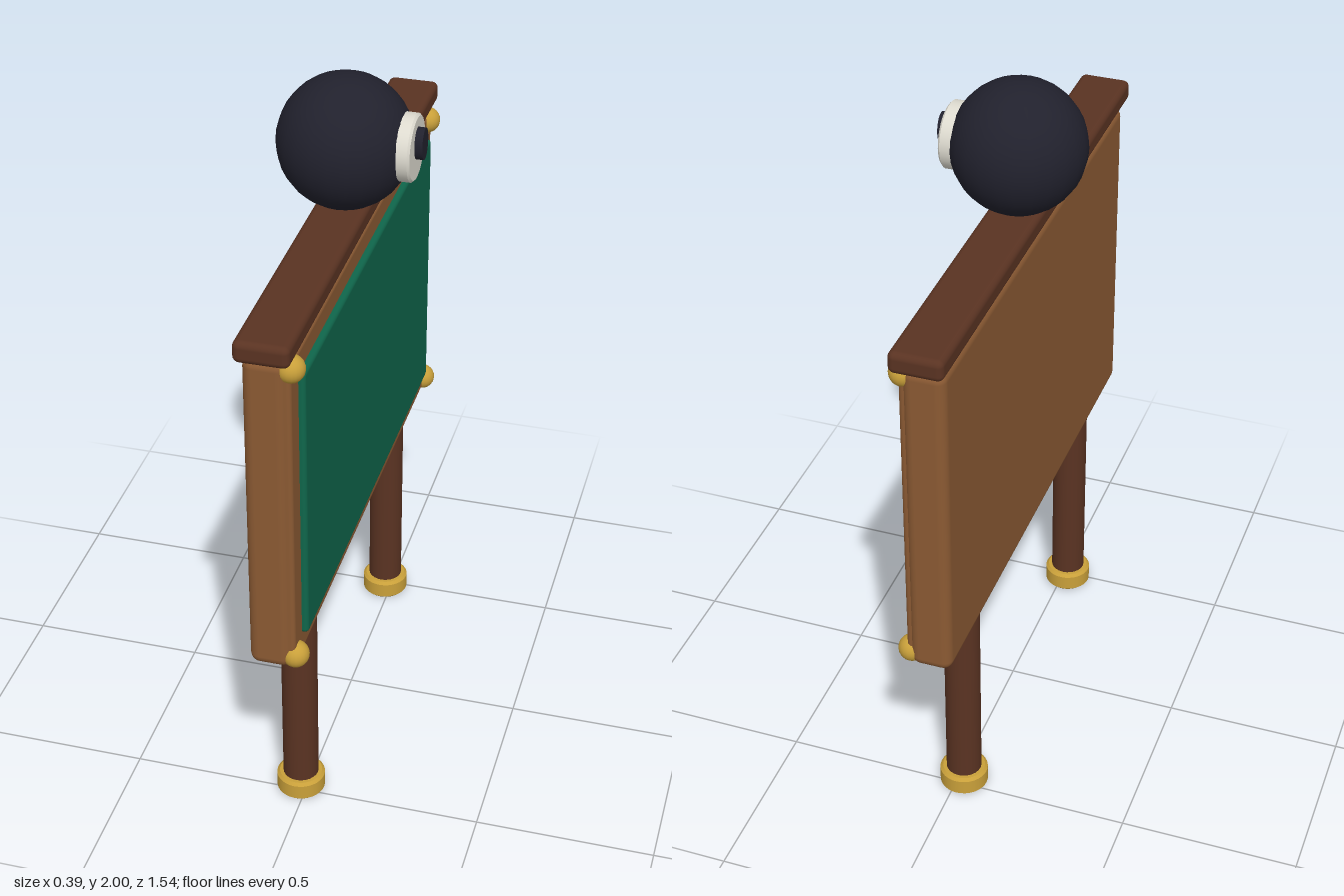
import * as THREE from 'three';
import { RoundedBoxGeometry } from 'three/addons/geometries/RoundedBoxGeometry.js';

const material = (name, color) => {
  const m = new THREE.MeshStandardMaterial({ color });
  m.name = name;
  return m;
};

export function createModel() {
  const wood = material('wood', 0x8b5a33);
  const darkWood = material('dark wood', 0x5a3322);
  const felt = material('green felt', 0x0f664b);
  const brass = material('brass', 0xc9a03a);
  const black = material('black', 0x21212d);
  const ivory = material('ivory', 0xdedbd0);

  const group = new THREE.Group();
  const add = (name, geometry, mat, x, y, z) => {
    const mesh = new THREE.Mesh(geometry, mat);
    mesh.name = name;
    mesh.position.set(x, y, z);
    group.add(mesh);
    return mesh;
  };

  // Box given by its limits in x and y and its half width in z
  const slab = (name, mat, x0, x1, y0, y1, halfZ, radius) =>
    add(name, new RoundedBoxGeometry(x1 - x0, y1 - y0, halfZ * 2, 3, radius), mat,
      (x0 + x1) / 2, (y0 + y1) / 2, 0);

  // Disc with softened rims, standing on y = 0
  const softDisc = (r, h, b) => new THREE.LatheGeometry([
    [0, 0], [r - b, 0], [r - b, 0], [r, b], [r, b],
    [r, h - b], [r, h - b], [r - b, h], [r - b, h], [0, h],
  ].map(([x, y]) => new THREE.Vector2(x, y)), 32);

  // Sign board, facing +x
  slab('board', wood, -0.08, 0.035, 0.638, 1.582, 0.735, 0.028);
  slab('frontFrame', wood, -0.02, 0.045, 0.645, 1.575, 0.725, 0.012);
  slab('feltPanel', felt, 0.02, 0.062, 0.708, 1.515, 0.66, 0.012);
  slab('topRail', darkWood, -0.09, 0.055, 1.587, 1.648, 0.77, 0.018);

  for (const side of [-1, 1]) {
    // Legs with brass feet
    add('leg', new THREE.CylinderGeometry(0.05, 0.05, 0.64, 24), darkWood, -0.018, 0.34, side * 0.48);
    add('foot', softDisc(0.068, 0.06, 0.008), brass, -0.018, 0, side * 0.48);
    // Corner studs
    for (const y of [0.67, 1.553]) {
      add('cornerStud', new THREE.SphereGeometry(0.037, 20, 14), brass, 0.039, y, side * 0.7);
    }
  }

  // Ball on top with its round badge
  add('ball', new THREE.SphereGeometry(0.182, 24, 18), black, -0.016, 1.818, 0);
  const badge = add('badge', softDisc(0.091, 0.05, 0.006), ivory, 0.126, 1.82, 0);
  badge.rotation.z = -Math.PI / 2;

  // Plain oval boss on the badge
  const boss = add('badgeBoss', new THREE.CylinderGeometry(1, 1, 0.03, 32), black, 0.182, 1.835, 0);
  boss.rotation.z = -Math.PI / 2;
  boss.scale.set(0.044, 1, 0.033);

  return group;
}
